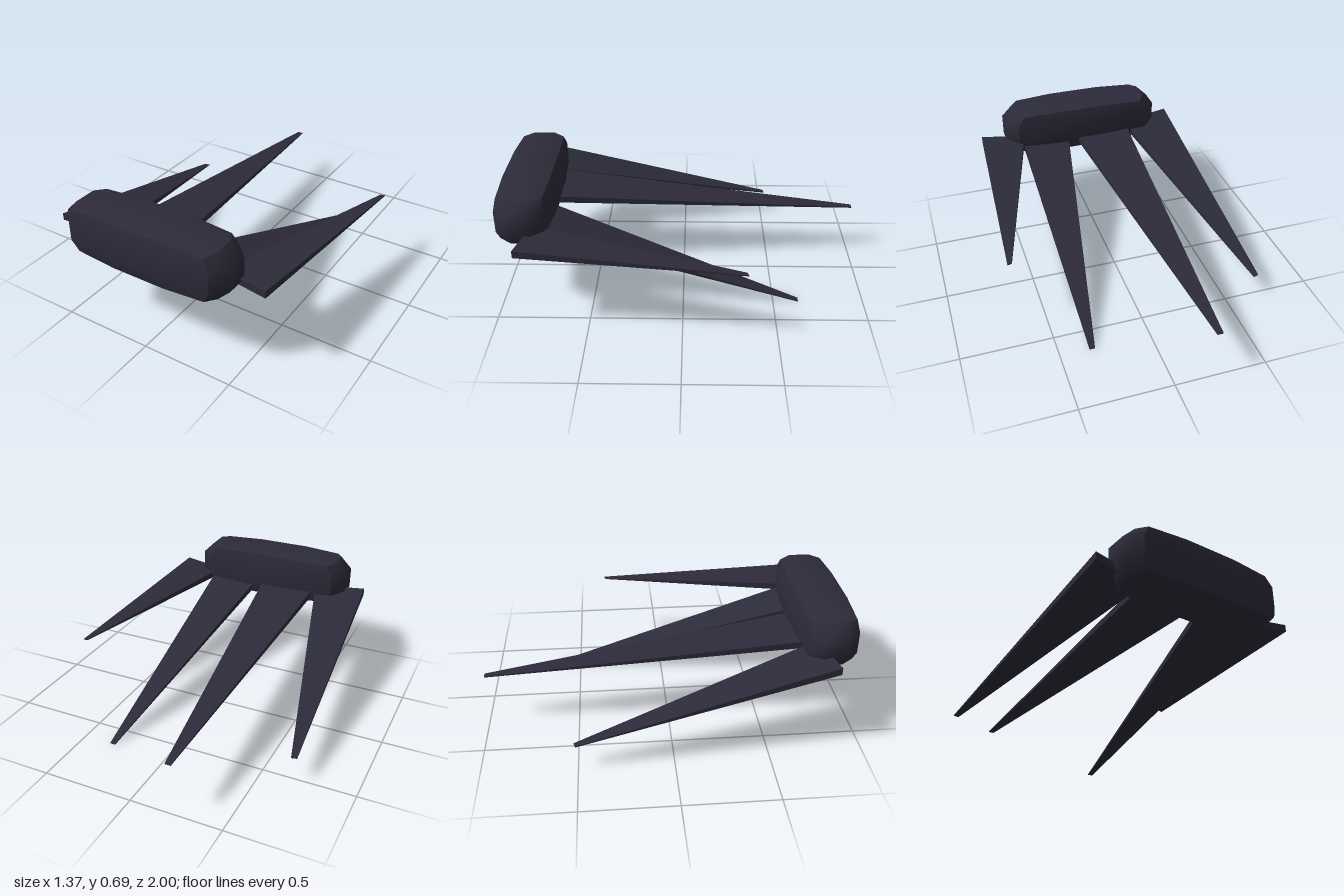
import * as THREE from 'three';

const shell = new THREE.MeshStandardMaterial({ color: 0x2d2b3a });
shell.name = 'darkSlate';

// Bulged bar: a 3x3x3 box whose faces, edges and corners are pulled to a soft pillow shape.
// Each cube face keeps its own vertices, so shading is smooth within a face and creased between them.
function barGeometry() {
  const geo = new THREE.BoxGeometry(2, 2, 2, 3, 3, 3);
  const p = geo.attributes.position;
  // offset per axis: [inner loop, on a face, on an edge, at a corner]
  const size = [
    [0.155, 0.483, 0.413, 0.378],
    [0.06, 0.152, 0.13, 0.12],
    [0.06, 0.15, 0.13, 0.12],
  ];
  for (let i = 0; i < p.count; i++) {
    const v = [p.getX(i), p.getY(i), p.getZ(i)];
    const outer = v.map((c) => Math.abs(c) > 0.9);
    const level = outer.filter(Boolean).length;
    const w = v.map((c, k) => Math.sign(c) * size[k][outer[k] ? level : 0]);
    p.setXYZ(i, ...w);
  }
  geo.computeVertexNormals();
  return geo;
}

// Tapered blade: root and tip corners are given as [x, top y, z] for the low-x and high-x sides.
function bladeGeometry({ root, tip }) {
  const geo = new THREE.BoxGeometry(2, 2, 2);
  const p = geo.attributes.position;
  for (let i = 0; i < p.count; i++) {
    const atRoot = p.getZ(i) > 0;
    const [x, y, z] = (atRoot ? root : tip)[p.getX(i) > 0 ? 1 : 0];
    const thickness = atRoot ? 0.04 : 0.005;
    p.setXYZ(i, x, p.getY(i) > 0 ? y : y - thickness, z);
  }
  geo.computeVertexNormals();
  return geo;
}

const blades = {
  rightOuterBlade: {
    root: [[-0.62, 0.5, 0.85], [-0.32, 0.488, 0.8]],
    tip: [[-0.685, 0.142, -0.51], [-0.655, 0.142, -0.517]],
  },
  rightInnerBlade: {
    root: [[-0.32, 0.485, 0.79], [0.022, 0.485, 0.8]],
    tip: [[-0.237, 0.295, -1], [-0.205, 0.295, -1]],
  },
  leftInnerBlade: {
    root: [[0.06, 0.488, 0.8], [0.36, 0.488, 0.8]],
    tip: [[0.31, 0.005, -0.64], [0.34, 0.005, -0.64]],
  },
  leftOuterBlade: {
    root: [[0.345, 0.488, 0.8], [0.605, 0.5, 0.85]],
    tip: [[0.655, 0.42, -0.322], [0.68, 0.42, -0.33]],
  },
};

export function createModel() {
  const group = new THREE.Group();
  group.name = 'bladedBar';

  // Main bar
  const bar = new THREE.Mesh(barGeometry(), shell);
  bar.name = 'bar';
  bar.position.set(-0.027, 0.534, 0.85);
  group.add(bar);

  // Four blades trailing behind the bar
  for (const [name, spec] of Object.entries(blades)) {
    const blade = new THREE.Mesh(bladeGeometry(spec), shell);
    blade.name = name;
    group.add(blade);
  }
  return group;
}
